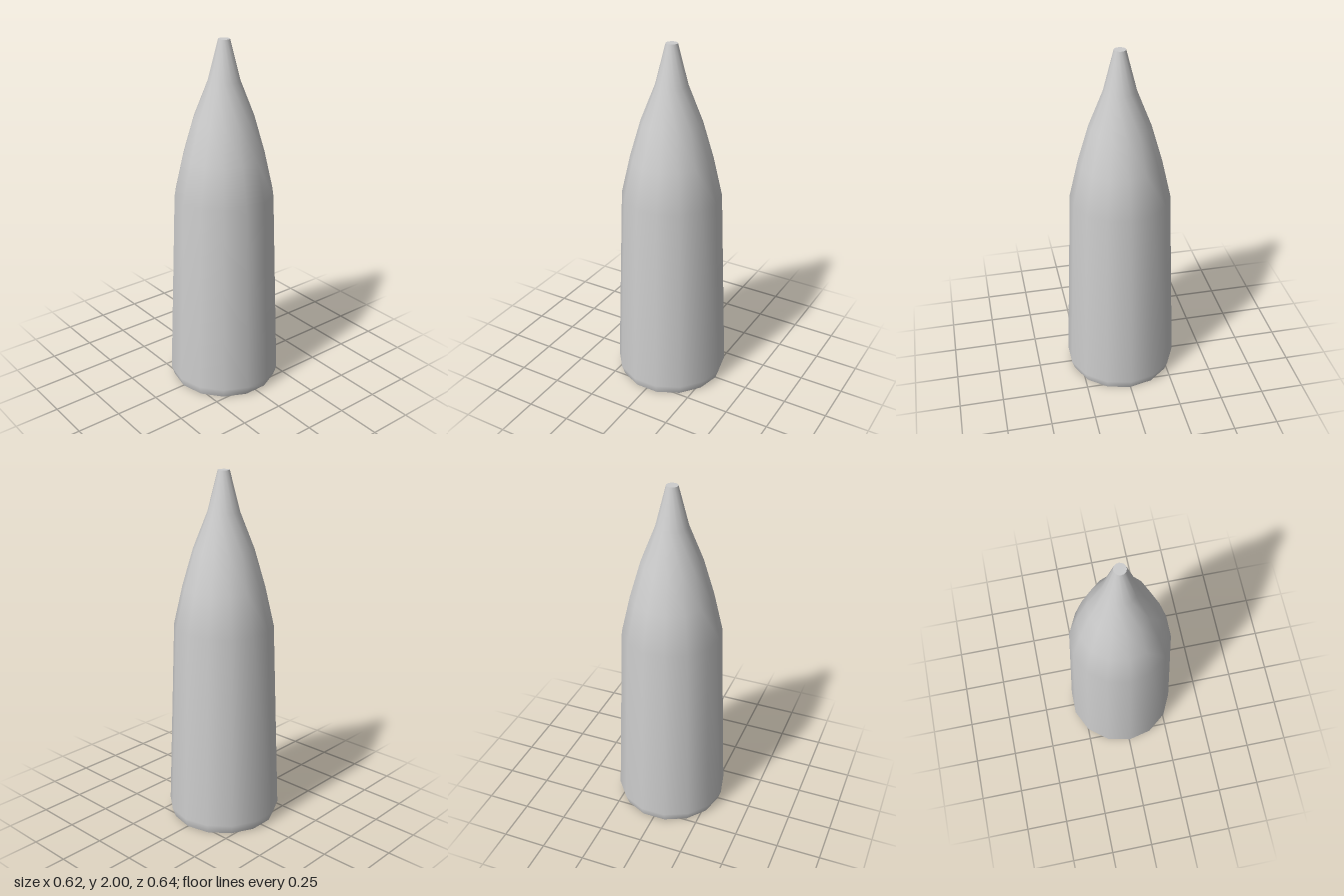
import * as THREE from 'three';

export function createModel() {
  const group = new THREE.Group();
  group.name = 'pointedBody';
  const grey = new THREE.MeshStandardMaterial({ color: 0xcccccc });
  grey.name = 'lightGrey';
  const sides = 14;

  // Tapered shell: chamfered foot, straight wall, curved nose
  const profile = [
    [0.302, 0], [0.32, 0.055], [0.278, 1.15], [0.228, 1.37],
    [0.167, 1.58], [0.088, 1.78], [0.032, 2],
  ].map(([r, y]) => new THREE.Vector2(r, y));
  const shell = new THREE.Mesh(new THREE.LatheGeometry(profile, sides), grey);
  shell.name = 'shell';
  group.add(shell);

  // Flat end discs, with corners matching the shell
  const addDisc = (name, radius, y, tilt) => {
    const geometry = new THREE.CircleGeometry(radius, sides, Math.PI / 2);
    const disc = new THREE.Mesh(geometry.rotateX(tilt), grey);
    disc.position.y = y;
    disc.name = name;
    group.add(disc);
  };
  addDisc('tipCap', 0.032, 2, -Math.PI / 2);
  addDisc('baseCap', 0.302, 0, Math.PI / 2);

  return group;
}
